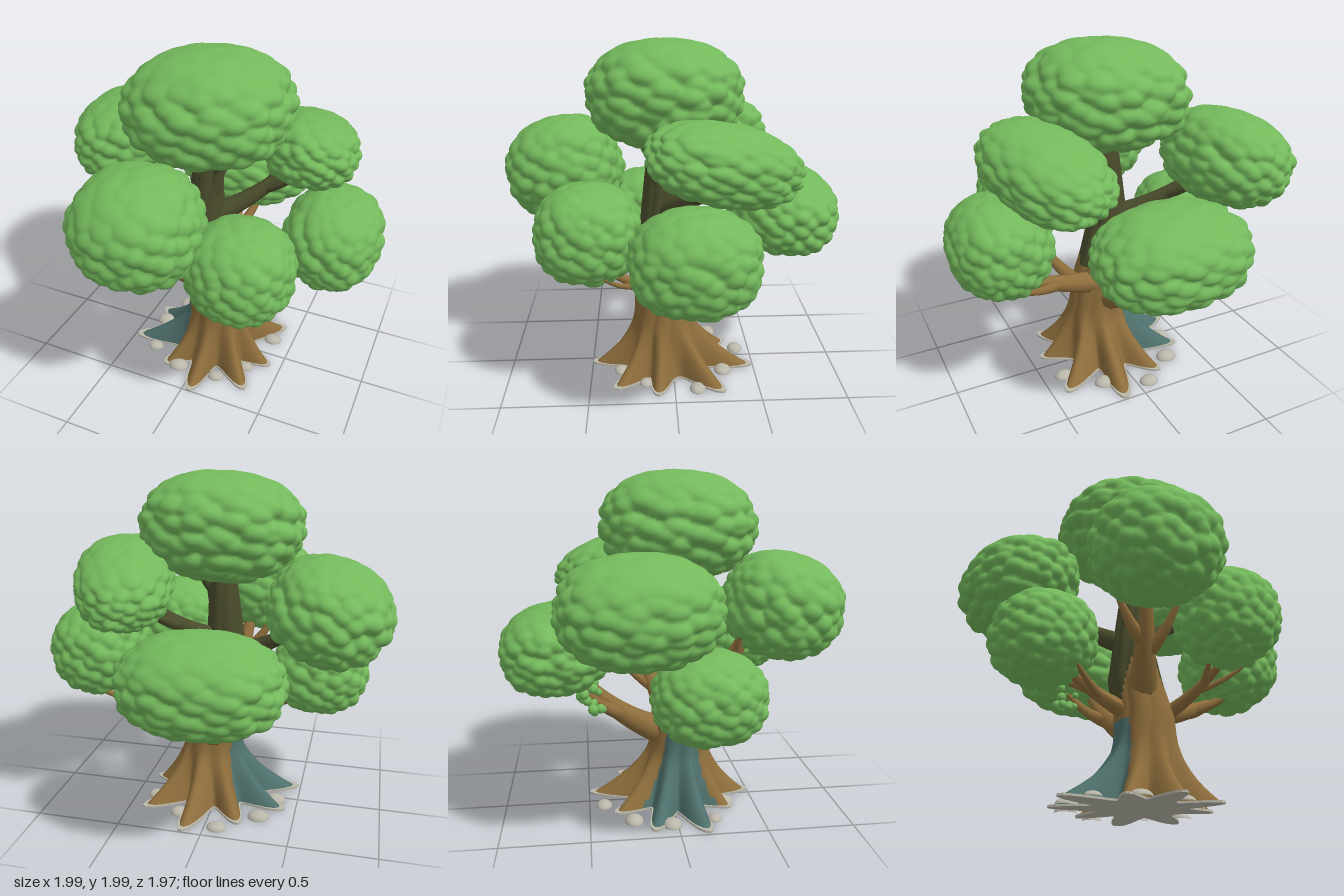
import * as THREE from 'three';
import { mergeVertices } from 'three/addons/utils/BufferGeometryUtils.js';

const vec = (a) => new THREE.Vector3(...a);
const smooth = THREE.MathUtils.smoothstep;

const material = (name, color, side = THREE.FrontSide) => {
  const m = new THREE.MeshStandardMaterial({ color, side });
  m.name = name;
  return m;
};

function seeded(seed) {
  return () => {
    seed = (seed * 16807) % 2147483647;
    return seed / 2147483647;
  };
}

// Root directions (degrees from +x towards +z) and how far each one reaches
const ROOTS = [[10, 0.4], [45, 0.45], [88, 0.46], [125, 0.38], [165, 0.52],
  [200, 0.48], [240, 0.43], [280, 0.52], [320, 0.49]];
const BASE = 0.23;

function angleGap(a, b) {
  return Math.abs(Math.atan2(Math.sin(a - b), Math.cos(a - b)));
}

function rootReach(theta) {
  let reach = 0;
  for (const [deg, r] of ROOTS) {
    const d = angleGap(theta, THREE.MathUtils.degToRad(deg)) / 0.2;
    reach = Math.max(reach, (r - BASE) * Math.exp(-d * d));
  }
  return reach;
}

// Trunk centre line: y, x, z, radius
const TRUNK = [[0, 0.03, 0.03, BASE], [0.15, 0.045, 0.04, 0.2], [0.3, 0.055, 0.055, 0.175],
  [0.5, 0.04, 0.06, 0.165], [0.7, -0.01, 0.05, 0.155], [0.9, -0.03, 0.07, 0.12], [1.5, 0, 0.06, 0.07]];

function trunkAt(y) {
  let k = 0;
  while (k < TRUNK.length - 2 && TRUNK[k + 1][0] < y) k++;
  const a = TRUNK[k], b = TRUNK[k + 1], t = (y - a[0]) / (b[0] - a[0]);
  return [1, 2, 3].map((n) => THREE.MathUtils.lerp(a[n], b[n], t));
}

// Lofted trunk with flared roots, twisting bark and three colour zones
function trunkGeometry() {
  const seg = 120, rings = 44, pos = [], zones = [[], [], []];
  const height = (j) => 1.5 * Math.pow(j / rings, 1.5);
  for (let j = 0; j <= rings; j++) {
    const y = height(j), [cx, cz, r] = trunkAt(y);
    const flare = y < 0.4 ? (1 - y / 0.4) ** 2 : 0;
    const bark = 0.07 * smooth(y, 0.05, 0.3);
    for (let i = 0; i < seg; i++) {
      const t = (i / seg) * Math.PI * 2;
      const ridge = Math.abs(Math.sin(4.5 * t + 3.5 * y + 0.5 * Math.sin(2 * t))) - 0.6;
      const R = r * (1 + bark * ridge) + rootReach(t) * flare;
      pos.push(cx + R * Math.cos(t), y, cz + R * Math.sin(t));
    }
  }
  for (let j = 0; j < rings; j++) {
    const y = height(j + 0.5);
    for (let i = 0; i < seg; i++) {
      const t = ((i + 0.5) / seg) * Math.PI * 2;
      const side = angleGap(t, Math.PI);
      const darkFrom = 0.66 - 0.18 * Math.max(0, 1 - side) + 0.2 * Math.max(0, Math.sin(t)) ** 3;
      const zone = y > darkFrom ? 2 : side < 0.85 - 0.6 * y && y < 0.46 ? 1 : 0;
      const a = j * seg + i, b = j * seg + ((i + 1) % seg), c = a + seg, d = b + seg;
      zones[zone].push(a, c, b, b, c, d);
    }
  }
  const g = new THREE.BufferGeometry();
  g.setAttribute('position', new THREE.Float32BufferAttribute(pos, 3));
  g.setIndex(zones.flat());
  let start = 0;
  zones.forEach((z, n) => { g.addGroup(start, z.length, n); start += z.length; });
  g.computeVertexNormals();
  return g;
}

// Pale footing following the root outline
function footingGeometry() {
  const outline = [];
  for (let i = 0; i < 120; i++) {
    const t = (i / 120) * Math.PI * 2, R = (BASE + rootReach(t)) * 1.03;
    outline.push(new THREE.Vector2(0.03 + R * Math.cos(t), 0.03 + R * Math.sin(t)));
  }
  const g = new THREE.ExtrudeGeometry(new THREE.Shape(outline), { depth: 0.012, bevelEnabled: false });
  return g.rotateX(Math.PI / 2).translate(0, 0.012, 0);
}

// Curve that leaves the trunk sideways, then sweeps up
function limbCurve(from, to) {
  const bend = from.clone().lerp(to, 0.55);
  bend.y = THREE.MathUtils.lerp(from.y, to.y, 0.25);
  return new THREE.QuadraticBezierCurve3(from, bend, to);
}

// Tube tapering to a third of its starting radius
function limbGeometry(curve, radius) {
  const seg = 18, sides = 10;
  const g = new THREE.TubeGeometry(curve, seg, radius, sides);
  const p = g.attributes.position, v = new THREE.Vector3();
  for (let i = 0; i < p.count; i++) {
    const t = Math.floor(i / (sides + 1)) / seg, c = curve.getPointAt(t);
    v.fromBufferAttribute(p, i).sub(c).multiplyScalar(1 - 0.67 * Math.pow(t, 0.7)).add(c);
    p.setXYZ(i, v.x, v.y, v.z);
  }
  g.computeVertexNormals();
  return g;
}

// Leaf mass: slightly boxy ellipsoid covered in overlapping scallops, smoother on top
function leafGeometry(center, half, tilt, seed) {
  const rand = seeded(seed), bumps = [], N = 170;
  for (let i = 0; i < N; i++) {
    const y = 1 - (2 * (i + 0.5)) / N, s = Math.sqrt(1 - y * y), a = i * 2.4 + seed;
    const jitter = () => (rand() - 0.5) * 0.16;
    const c = new THREE.Vector3(s * Math.cos(a) + jitter(), y + jitter(), s * Math.sin(a) + jitter());
    bumps.push({ c: c.normalize(), h: rand() * 0.04 });
  }
  let g = new THREE.IcosahedronGeometry(1, 24);
  g.deleteAttribute('normal');
  g.deleteAttribute('uv');
  g = mergeVertices(g, 1e-4);
  const p = g.attributes.position, v = new THREE.Vector3(), e = 2.25;
  for (let i = 0; i < p.count; i++) {
    v.fromBufferAttribute(p, i).normalize();
    let h = -1;
    for (const b of bumps) {
      h = Math.max(h, b.h - 2.4 * v.distanceToSquared(b.c) - 0.22 * (v.y - b.c.y));
    }
    const fade = 1 - 0.75 * smooth(v.y, 0.25, 0.85);
    const box = Math.pow(Math.abs(v.x) ** e + Math.abs(v.y) ** e + Math.abs(v.z) ** e, -1 / e);
    v.multiplyScalar(box * (0.98 + h * fade));
    p.setXYZ(i, v.x, v.y, v.z);
  }
  g.scale(...half).rotateX(tilt[0]).rotateY(tilt[1]).rotateZ(tilt[2]).translate(...center);
  g.computeVertexNormals();
  return g;
}

export function createModel() {
  const tree = new THREE.Group();
  tree.name = 'tree';
  const leaf = material('leafGreen', 0x74b95c);
  const bark = material('barkBrown', 0x8e6e3c, THREE.DoubleSide);
  const dark = material('shadedBark', 0x4a4c2c, THREE.DoubleSide);
  const teal = material('mossTeal', 0x4f716d, THREE.DoubleSide);
  const stone = material('paleStone', 0xbab7aa);
  const add = (name, geometry, mat) => {
    const m = new THREE.Mesh(geometry, mat);
    m.name = name;
    tree.add(m);
  };

  add('trunk', trunkGeometry(), [bark, teal, dark]);
  add('footing', footingGeometry(), stone);

  // Pebbles in the gaps between roots
  const rand = seeded(77);
  ROOTS.forEach(([deg]) => {
    const t = THREE.MathUtils.degToRad(deg + 20), R = 0.34 + rand() * 0.08, r = 0.035 + rand() * 0.02;
    const g = new THREE.SphereGeometry(r, 14, 7, 0, Math.PI * 2, 0, Math.PI / 2);
    add('pebble', g.scale(1.2, 0.7, 1).translate(R * Math.cos(t), 0, R * Math.sin(t)), stone);
  });

  // Limbs, each with a fork to either side: start, end, radius
  const limb = (mat, from, to, radius) => {
    const a = vec(from), b = vec(to), main = limbCurve(a, b);
    add('branch', limbGeometry(main, radius), mat);
    const side = new THREE.Vector3(a.z - b.z, 0, b.x - a.x).normalize();
    [-1, 1].forEach((k) => {
      const tip = b.clone().addScaledVector(side, 0.16 * k).add(new THREE.Vector3(0, 0.03 * k, 0));
      add('fork', limbGeometry(limbCurve(main.getPointAt(0.5 + 0.06 * k), tip), radius * 0.5), mat);
    });
  };
  limb(bark, [0, 0.62, 0.12], [-0.11, 1.04, 0.42], 0.1);
  limb(bark, [0, 0.5, 0.06], [-0.52, 0.72, 0.16], 0.065);
  limb(bark, [0.06, 0.53, 0], [0.68, 0.78, -0.12], 0.08);
  limb(bark, [0.22, 0.57, -0.04], [0.4, 0.84, 0.44], 0.05);
  limb(bark, [0.03, 0.42, 0], [-0.05, 0.84, -0.56], 0.1);
  limb(dark, [-0.02, 1, 0.07], [0.46, 1.36, -0.24], 0.075);
  limb(dark, [-0.02, 0.92, 0.07], [-0.56, 1.26, -0.2], 0.075);
  limb(dark, [0, 1.1, 0.08], [0.1, 1.55, 0.1], 0.06);

  // Leaf masses: centre, half sizes, tilt
  [
    ['crownLeaves', [-0.01, 1.69, 0.04], [0.47, 0.31, 0.45], [0, 0, 0.06]],
    ['frontLeaves', [-0.155, 1.235, 0.63], [0.36, 0.31, 0.35], [0.2, 0, 0.1]],
    ['upperRightSideLeaves', [-0.65, 1.305, -0.23], [0.34, 0.28, 0.43], [0, 0.1, 0.25]],
    ['lowerRightSideLeaves', [-0.59, 0.835, 0.13], [0.29, 0.255, 0.31], [0, 0, 0]],
    ['backLeaves', [-0.05, 1, -0.66], [0.45, 0.26, 0.33], [-0.15, 0, 0]],
    ['upperLeftSideLeaves', [0.485, 1.41, -0.25], [0.28, 0.21, 0.44], [-0.25, 0.3, -0.1]],
    ['lowerLeftSideLeaves', [0.705, 0.965, -0.085], [0.285, 0.285, 0.345], [0, 0, -0.08]],
    ['frontLeftLeaves', [0.355, 1, 0.475], [0.295, 0.28, 0.295], [0, 0, 0]],
  ].forEach(([name, center, half, tilt], i) => add(name, leafGeometry(center, half, tilt, 31 + i * 17), leaf));

  // Loose leaf tufts hanging below the back mass
  for (let i = 0; i < 14; i++) {
    const g = new THREE.SphereGeometry(0.02 + rand() * 0.015, 10, 8);
    g.translate(-0.3 + rand() * 0.16, 0.67 + rand() * 0.14, -0.55 + rand() * 0.14);
    add('leafTuft', g, leaf);
  }
  return tree;
}
